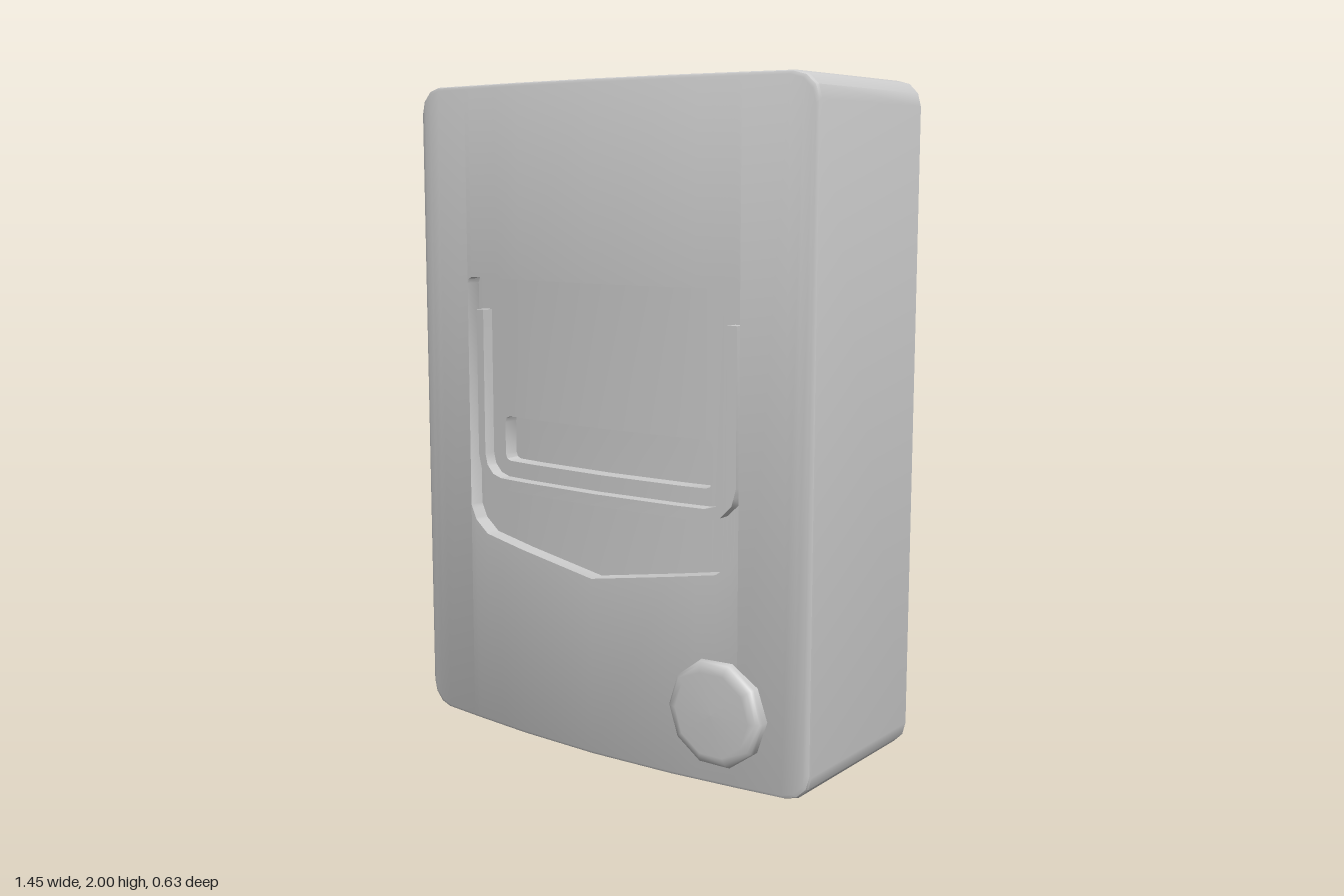
import * as THREE from 'three';
import { toCreasedNormals } from 'three/addons/utils/BufferGeometryUtils.js';

// Piecewise linear height along a left-to-right chain of [x, y] points
function at(chain, x) {
  if (x <= chain[0][0]) return chain[0][1];
  for (let i = 1; i < chain.length; i++) {
    const [ax, ay] = chain[i - 1], [bx, by] = chain[i];
    if (x <= bx) return ay + (by - ay) * (x - ax) / (bx - ax);
  }
  return chain[chain.length - 1][1];
}

// Bowed front surface
const BOW = [[-0.725, 0.25], [-0.5, 0.277], [-0.28, 0.299], [0, 0.31],
  [0.28, 0.299], [0.5, 0.277], [0.725, 0.25]];
const front = (depth) => (x) => at(BOW, x) - depth;
const BACK = -0.315, FLOOR = 0.05, SLOT = 0.1, BAR = 0.01;

// Outlines as upper and lower chains, left to right
function roundedRect(x0, x1, y0, y1, r, n) {
  const hi = [], lo = [];
  const corner = (cx, y, s, from, to) => {
    for (let i = 0; i <= n; i++) {
      const a = from + (to - from) * i / n;
      s.push([cx + r * Math.cos(a), y + r * Math.sin(a)]);
    }
  };
  const P = Math.PI;
  corner(x0 + r, y1 - r, hi, P, P / 2);
  corner(x1 - r, y1 - r, hi, P / 2, 0);
  corner(x0 + r, y0 + r, lo, P, 1.5 * P);
  corner(x1 - r, y0 + r, lo, 1.5 * P, 2 * P);
  return { hi, lo };
}
const face = roundedRect(-0.714, 0.714, 0.011, 1.989, 0.075, 3);
const slot = roundedRect(-0.4, 0.385, 0.85, 0.99, 0.02, 2);
const recess = {
  hi: [[-0.515, 1.4], [-0.509, 1.414], [-0.495, 1.42], [0.48, 1.42], [0.494, 1.414], [0.5, 1.4]],
  lo: [[-0.515, 0.7], [-0.492, 0.655], [-0.44, 0.617], [0, 0.545], [0.43, 0.617], [0.478, 0.655], [0.5, 0.7]],
};
// Outer and inner edges of the U-shaped bar
const uOuter = roundedRect(-0.485, 0.485, 0.765, 1.32, 0.1, 3).lo;
const uInner = roundedRect(-0.455, 0.455, 0.8, 1.32, 0.07, 3).lo;
const U_TOP = 1.32;

// Every x where some outline or the bow changes direction
const XS = [BOW, face.hi, face.lo, slot.hi, slot.lo, recess.hi, recess.lo, uOuter, uInner]
  .flat().map((p) => p[0]).sort((a, b) => a - b)
  .filter((x, i, all) => i === 0 || x - all[i - 1] > 1e-6);
const between = (x0, x1) => XS.filter((x) => x > x0 - 1e-5 && x < x1 + 1e-5);
const dense = (chain) => between(chain[0][0], chain[chain.length - 1][0]).map((x) => [x, at(chain, x)]);
const loop = ({ hi, lo }) => [...dense(lo), ...dense(hi).reverse()];

function quad(out, a, b, c, d) {
  out.push(...a, ...b, ...c, ...a, ...c, ...d);
}

// Front-facing strip between two chains
function band(out, x0, x1, lo, hi, z) {
  const xs = between(x0, x1);
  for (let i = 1; i < xs.length; i++) {
    const p = (x, chain) => [x, at(chain, x), z(x)];
    quad(out, p(xs[i - 1], lo), p(xs[i], lo), p(xs[i], hi), p(xs[i - 1], hi));
  }
}

// Front-facing area of an outline with a hole in it
function bandAround(out, outer, hole, z) {
  const a = hole.lo[0][0], b = hole.lo[hole.lo.length - 1][0];
  const x0 = outer.lo[0][0], x1 = outer.lo[outer.lo.length - 1][0];
  band(out, x0, a, outer.lo, outer.hi, z);
  band(out, b, x1, outer.lo, outer.hi, z);
  band(out, a, b, outer.lo, hole.lo, z);
  band(out, a, b, hole.hi, outer.hi, z);
}

// Closed skin between two rings of equal length
function skin(out, ringA, zA, ringB, zB) {
  for (let i = 0; i < ringA.length; i++) {
    const j = (i + 1) % ringA.length;
    const p = (r, k, z) => [...r[k], z(r[k][0])];
    quad(out, p(ringA, i, zA), p(ringA, j, zA), p(ringB, j, zB), p(ringB, i, zB));
  }
}

function part(name, positions) {
  let geo = new THREE.BufferGeometry();
  geo.setAttribute('position', new THREE.Float32BufferAttribute(positions, 3));
  geo = toCreasedNormals(geo, 0.6);
  const mesh = new THREE.Mesh(geo, new THREE.MeshStandardMaterial({ color: 0xcccccc }));
  mesh.name = name;
  return mesh;
}

export function createModel() {
  const group = new THREE.Group();
  group.name = 'wallUnit';

  // Housing: bowed front, softened edge, sides and flat back
  const housing = [];
  const inner = loop(face);
  const grow = (d) => inner.map(([x, y]) => [x * (0.714 + d) / 0.714, 1 + (y - 1) * (0.989 + d) / 0.989]);
  const mid = grow(0.008), outer = grow(0.011);
  const back = () => BACK;
  bandAround(housing, face, recess, front(0));
  skin(housing, mid, front(0.004), inner, front(0));
  skin(housing, outer, front(0.012), mid, front(0.004));
  skin(housing, outer, back, outer, front(0.012));
  outer.forEach((p, i) => {
    const q = outer[(i + 1) % outer.length];
    housing.push(0, 1, BACK, ...q, BACK, ...p, BACK);
  });
  group.add(part('housing', housing));

  // Recess: side walls and floor around the slot
  const pocket = [];
  const rim = loop(recess).reverse();
  skin(pocket, rim, front(FLOOR), rim, front(0));
  bandAround(pocket, recess, slot, front(FLOOR));
  group.add(part('recess', pocket));

  // Slot cut into the recess floor
  const cut = [];
  const slotRim = loop(slot).reverse();
  skin(cut, slotRim, front(SLOT), slotRim, front(FLOOR));
  band(cut, -0.4, 0.385, slot.lo, slot.hi, front(SLOT));
  group.add(part('slot', cut));

  // Raised U-shaped bar around the slot
  const bar = [];
  const top = [[-0.485, U_TOP], [0.485, U_TOP]];
  const path = [...dense(uOuter), [0.485, U_TOP], [0.455, U_TOP],
    ...dense(uInner).reverse(), [-0.455, U_TOP], [-0.485, U_TOP]];
  skin(bar, path, front(FLOOR), path, front(BAR));
  band(bar, -0.485, -0.455, uOuter, top, front(BAR));
  band(bar, -0.455, 0.455, uOuter, uInner, front(BAR));
  band(bar, 0.455, 0.485, uOuter, top, front(BAR));
  group.add(part('guideBar', bar));

  // Ten-sided knob with a rounded rim
  const profile = [[0.16, 0.24], [0.16, 0.288], [0.156, 0.298], [0.146, 0.307], [0.125, 0.313], [0, 0.315]]
    .map(([r, h]) => new THREE.Vector2(r, h));
  const knob = new THREE.Mesh(
    new THREE.LatheGeometry(profile, 10, Math.PI / 2).rotateX(Math.PI / 2),
    new THREE.MeshStandardMaterial({ color: 0xcccccc }));
  knob.position.set(0.435, 0.215, 0);
  knob.name = 'knob';
  group.add(knob);

  return group;
}
